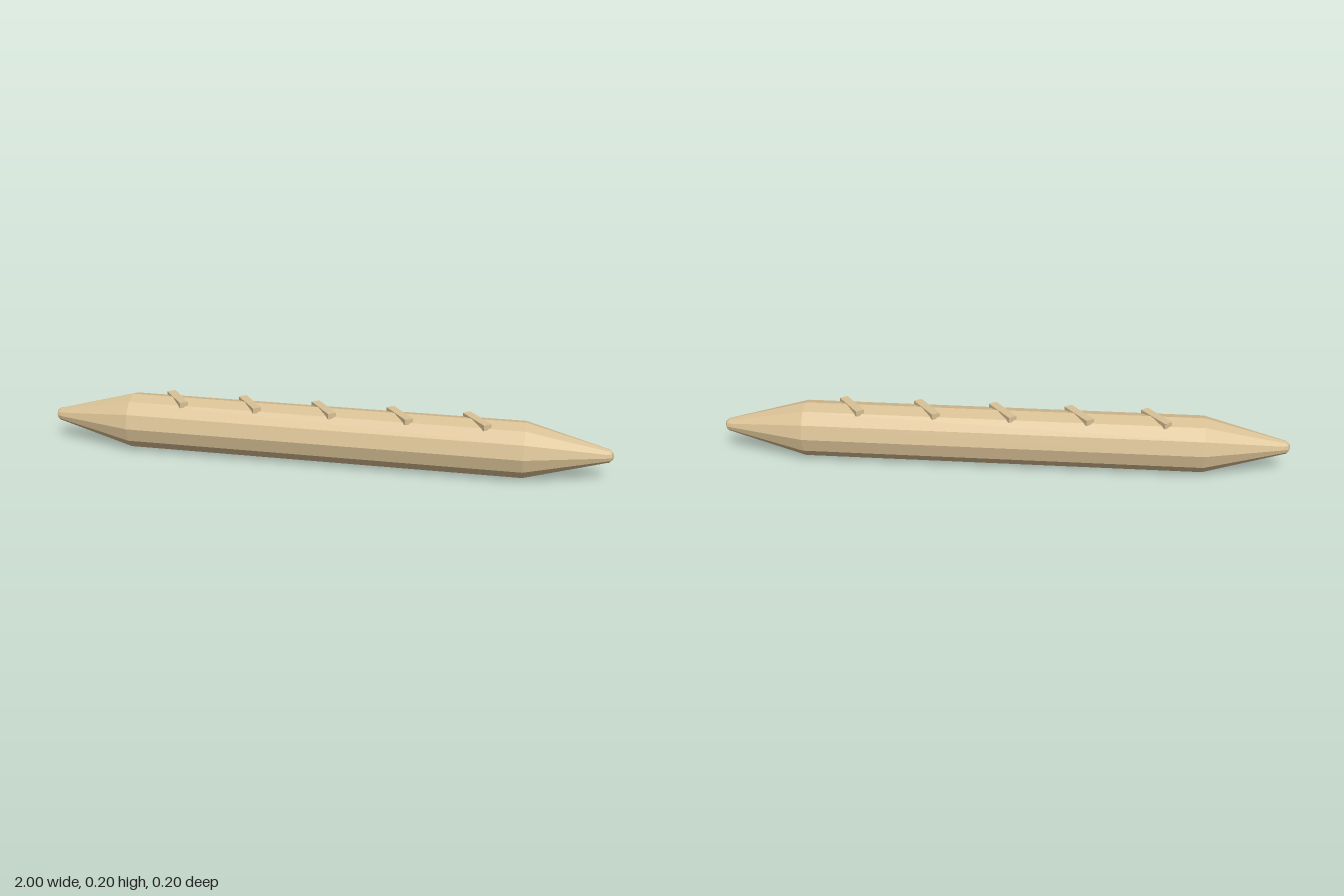
import * as THREE from 'three';

export function createModel() {
  const model = new THREE.Group();
  const crust = new THREE.MeshStandardMaterial({ color: 0xd9c195, flatShading: true });
  crust.name = 'crust';
  const R = 0.099, TIP = 0.025, CY = 0.1, SIDES = 12;

  const add = (name, geometry, x, y) => {
    const mesh = new THREE.Mesh(geometry, crust);
    mesh.name = name;
    mesh.position.set(x, y, 0);
    model.add(mesh);
    return mesh;
  };

  // Long faceted loaf body lying along x
  add('loafBody', new THREE.CylinderGeometry(R, R, 1.4, SIDES), 0, CY).rotation.z = -Math.PI / 2;

  // Tapered ends with small rounded tips
  for (const [side, s] of [['left', 1], ['right', -1]]) {
    add(side + 'Taper', new THREE.CylinderGeometry(TIP, R, 0.275, SIDES), s * 0.8375, CY)
      .rotation.z = -s * Math.PI / 2;
    add(side + 'Tip', new THREE.SphereGeometry(TIP, 8, 6), s * 0.975, CY);
  }

  // Diagonal scoring ridges along the top
  for (let i = -2; i <= 2; i++) {
    add('score' + (i + 3), new THREE.BoxGeometry(0.03, 0.02, 0.133), i * 0.267, 0.191)
      .rotation.y = 0.65;
  }
  return model;
}
